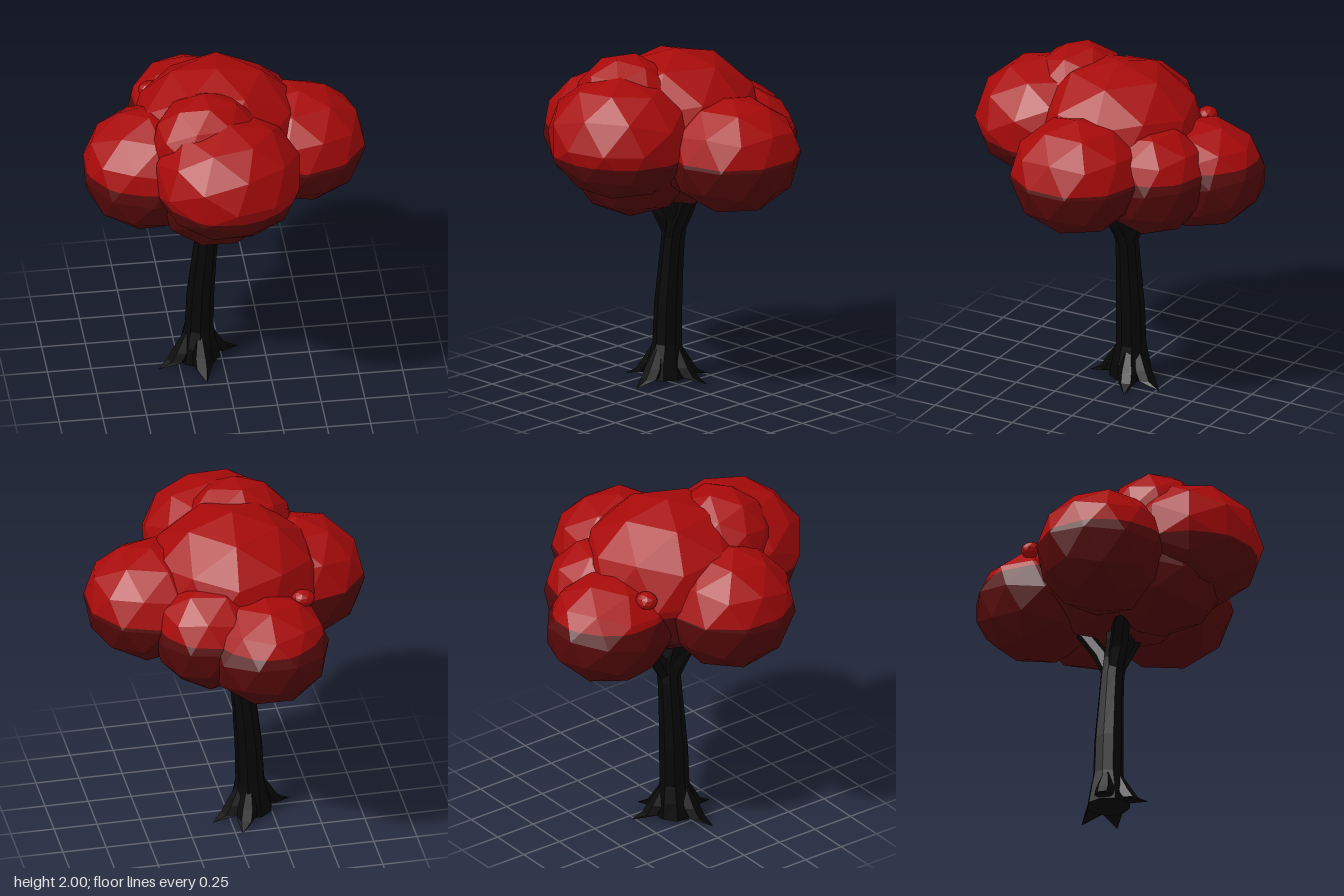
import * as THREE from 'three';

const SPLIT = 1.495; // height where the canopy changes colour

const flat = (color, name) => {
  const m = new THREE.MeshStandardMaterial({ color, flatShading: true });
  m.name = name;
  return m;
};

// Part of a non-indexed geometry above (side 1) or below (side -1) the split height
function clip(geometry, side) {
  const p = geometry.attributes.position, out = [];
  for (let i = 0; i < p.count; i += 3) {
    const tri = [0, 1, 2].map(k => new THREE.Vector3().fromBufferAttribute(p, i + k));
    const poly = [];
    tri.forEach((a, k) => {
      const b = tri[(k + 1) % 3];
      const da = (a.y - SPLIT) * side, db = (b.y - SPLIT) * side;
      if (da >= 0) poly.push(a);
      if (da * db < 0) poly.push(a.clone().lerp(b, da / (da - db)));
    });
    for (let k = 1; k + 1 < poly.length; k++)
      for (const v of [poly[0], poly[k], poly[k + 1]]) out.push(v.x, v.y, v.z);
  }
  const g = new THREE.BufferGeometry();
  g.setAttribute('position', new THREE.Float32BufferAttribute(out, 3));
  g.computeVertexNormals();
  return g;
}

// Closed solid through horizontal rings [x, y, z, radiusX, radiusZ], bottom to top
function loft(rings, sides) {
  const pos = [], idx = [];
  for (const [x, y, z, rx, rz = rx] of rings)
    for (let i = 0; i < sides; i++) {
      const a = (i / sides) * Math.PI * 2 + 0.2;
      pos.push(x + Math.cos(a) * rx, y, z + Math.sin(a) * rz);
    }
  for (let r = 0; r + 1 < rings.length; r++)
    for (let i = 0; i < sides; i++) {
      const j = (i + 1) % sides, l = r * sides, u = l + sides;
      idx.push(l + i, u + i, l + j, l + j, u + i, u + j);
    }
  const top = (rings.length - 1) * sides;
  for (let i = 1; i + 1 < sides; i++) idx.push(0, i, i + 1, top, top + i + 1, top + i);
  const g = new THREE.BufferGeometry();
  g.setAttribute('position', new THREE.Float32BufferAttribute(pos, 3));
  g.setIndex(idx);
  g.computeVertexNormals();
  return g;
}

export function createModel() {
  const tree = new THREE.Group();
  tree.name = 'tree';
  const bark = flat(0x060606, 'blackBark');
  const bright = flat(0xa80a0a, 'brightRedLeaves');
  const dark = flat(0x560809, 'darkRedLeaves');

  const add = (parent, name, geometry, material) => {
    const mesh = new THREE.Mesh(geometry, material);
    mesh.name = name;
    parent.add(mesh);
  };

  // Trunk, leaning slightly towards +x
  add(tree, 'trunk', loft([
    [-0.135, 0.02, -0.03, 0.125, 0.125],
    [-0.135, 0.12, -0.03, 0.105, 0.11],
    [-0.13, 0.22, -0.035, 0.084, 0.088],
    [-0.122, 0.45, -0.035, 0.08, 0.084],
    [-0.1, 0.7, -0.035, 0.072, 0.073],
    [-0.083, 0.86, -0.035, 0.069, 0.068],
    [-0.058, 0.97, -0.03, 0.075, 0.068],
    [-0.05, 1.07, -0.005, 0.1, 0.075],
    [-0.05, 1.25, 0, 0.1, 0.075],
  ], 9), bark);

  // Branches reaching into the canopy
  [[-0.24, 0.14], [0.16, 0.02], [-0.09, -0.29]].forEach(([x, z], i) => {
    add(tree, 'branch' + (i + 1), loft([
      [-0.083, 0.84, -0.035, 0.045],
      [-0.06 + (x + 0.06) * 0.3, 1.0, -0.03 + (z + 0.03) * 0.3, 0.055],
      [x, 1.26, z, 0.05],
    ], 6), bark);
  });

  // Four pointed roots
  [-0.35, 1.5, 2.79, 5.1].forEach((a, i) => {
    const at = (d, y, r) => [-0.135 + Math.cos(a) * d, y, -0.03 + Math.sin(a) * d, r];
    add(tree, 'root' + (i + 1), loft([
      at(0.25, 0, 0.003), at(0.135, 0.035, 0.055), at(0.1, 0.09, 0.055), at(0.06, 0.2, 0.025),
    ], 6), bark);
  });

  // Leaf clumps: name, centre, radii, turn, tilt
  const clumps = [
    ['mainClump', [-0.03, 1.54, -0.01], [0.51, 0.46, 0.51], 0.2, 0],
    ['frontClump', [-0.025, 1.575, 0.44], [0.43, 0.355, 0.42], 0, Math.PI / 2],
    ['leftClump', [0.44, 1.475, 0], [0.385, 0.337, 0.39], 0.62, 0],
    ['rightClump', [-0.44, 1.455, 0.12], [0.385, 0.36, 0.38], 1.2, 0.1],
    ['backClump', [-0.13, 1.38, -0.49], [0.36, 0.315, 0.38], 0.3, 0.2],
    ['backLeftClump', [0.16, 1.42, -0.32], [0.33, 0.33, 0.345], 0.7, 0.1],
    ['topClump', [-0.12, 1.69, 0.29], [0.33, 0.315, 0.3], 0.4, 0.3],
    ['lowerClump', [-0.08, 1.39, 0.28], [0.36, 0.32, 0.38], 0.6, 0.3],
    ['smallClump', [-0.36, 1.62, -0.4], [0.07, 0.05, 0.06], 0, 0],
  ];
  for (const [name, centre, radii, turn, tilt] of clumps) {
    const g = new THREE.IcosahedronGeometry(1, 1);
    g.rotateZ(-Math.atan(2 / (1 + Math.sqrt(5)))).rotateY(turn).rotateX(tilt);
    g.scale(...radii).translate(...centre);
    const clump = new THREE.Group();
    clump.name = name;
    for (const [side, label, material] of [[1, 'Top', bright], [-1, 'Underside', dark]]) {
      const half = clip(g, side);
      if (half.attributes.position.count) add(clump, name + label, half, material);
    }
    tree.add(clump);
  }
  return tree;
}
